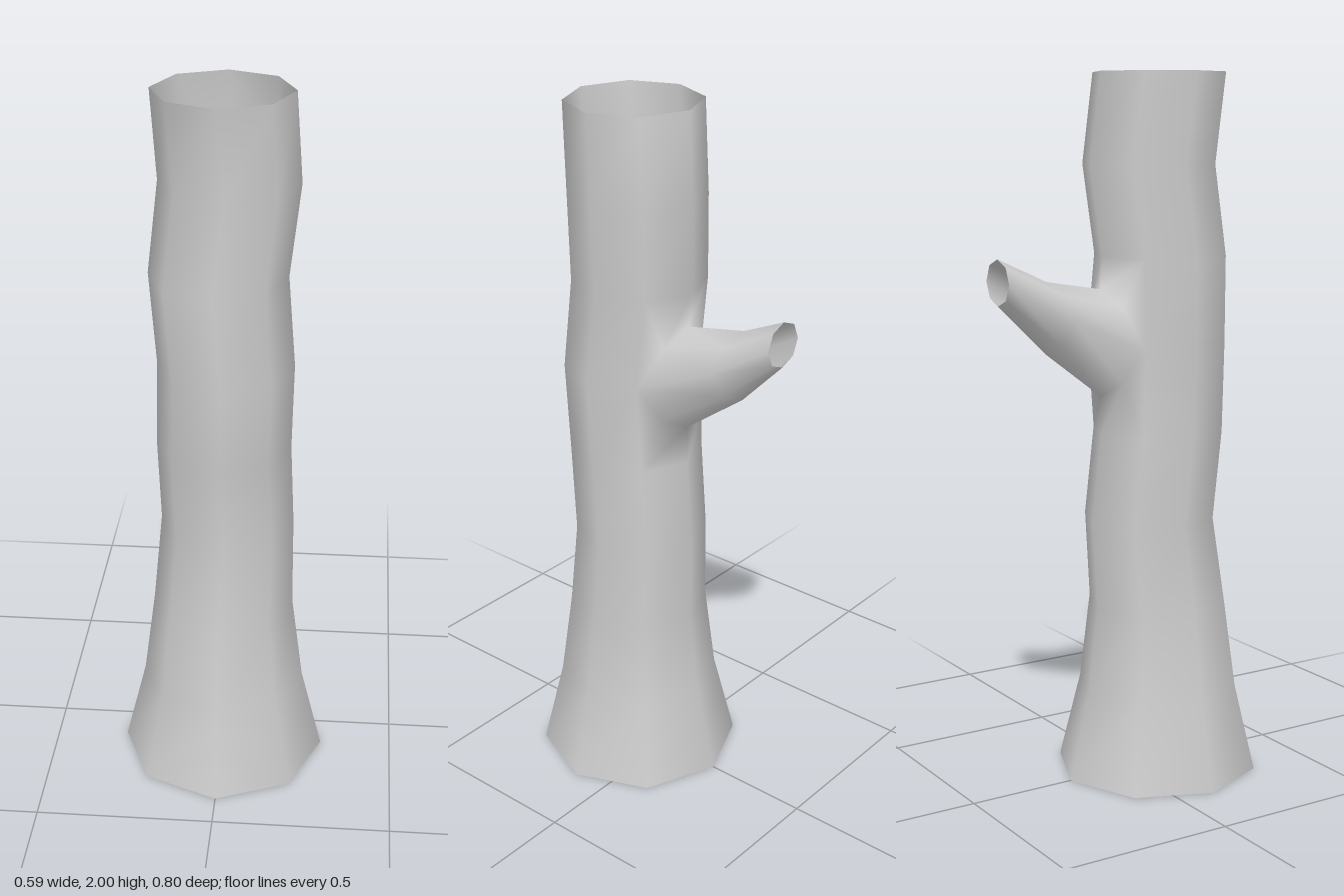
import * as THREE from 'three';

export function createModel() {
  const group = new THREE.Group();
  const points = [];
  const add = (x, y, z) => points.push(x, y, z) / 3 - 1;
  const quad = (list, a, b, c, d) => list.push(a, b, c, a, c, d);

  // Trunk rings, bottom to top: centre x, centre z, radius
  const SIDES = 8, STEP = 0.25;
  const rings = [
    [0, 0.105, 0.293], [0, 0.107, 0.232], [0, 0.105, 0.2],
    [0.01, 0.083, 0.188], [0.002, 0.107, 0.187], [0.008, 0.118, 0.187],
    [-0.013, 0.103, 0.188], [0.015, 0.083, 0.189], [0, 0.107, 0.188],
  ].map(([cx, cz, r], i) => Array.from({ length: SIDES }, (_, k) => {
    const a = (k / SIDES) * Math.PI * 2;
    return add(cx + r * Math.sin(a), i * STEP, cz + r * Math.cos(a));
  }));

  // Hollow trunk wall, leaving a two by two opening at the back for the branch
  const trunkFaces = [];
  for (let i = 0; i < rings.length - 1; i++) {
    for (let k = 0; k < SIDES; k++) {
      if ((i === 4 || i === 5) && (k === 3 || k === 4)) continue;
      const n = (k + 1) % SIDES;
      quad(trunkFaces, rings[i][k], rings[i][n], rings[i + 1][n], rings[i + 1][k]);
    }
  }

  // Rim of the opening, counter-clockwise as seen from behind
  const rim = [[5, 5], [6, 5], [6, 4], [6, 3], [5, 3], [4, 3], [4, 4], [4, 5]]
    .map(([i, k]) => rings[i][k]);

  // Branch cross-section: centre x, centre y, half width, half height, z at angle t
  const loop = (cx, cy, w, h, zAt) => rim.map((_, j) => {
    const t = (j / SIDES) * Math.PI * 2;
    return add(cx - w * Math.cos(t), cy + h * Math.sin(t), zAt(t));
  });
  const collar = loop(0.003, 1.26, 0.12, 0.15, t => -0.02 - 0.062 * Math.abs(Math.sin(t)));
  collar[0] = rim[0]; // the collar meets the trunk edges at both sides
  collar[4] = rim[4];
  const middle = loop(-0.01, 1.34, 0.096, 0.1, t => -0.23 - 0.03 * Math.abs(Math.sin(t)));
  const tip = loop(0.006, 1.443, 0.064, 0.063, () => -0.4);

  // Flare from the trunk into the branch, then the open branch itself
  const branchFaces = [];
  const bridge = (list, from, to) => from.forEach((a, j) => {
    const n = (j + 1) % SIDES;
    quad(list, a, from[n], to[n], to[j]);
  });
  bridge(trunkFaces, rim, collar);
  bridge(branchFaces, collar, middle);
  bridge(branchFaces, middle, tip);

  // Normals are found across both parts so the join stays smooth
  const whole = new THREE.BufferGeometry();
  whole.setAttribute('position', new THREE.Float32BufferAttribute(points, 3));
  whole.setIndex([...trunkFaces, ...branchFaces]);
  whole.computeVertexNormals();

  const material = new THREE.MeshStandardMaterial({ color: 0xcccccc, side: THREE.DoubleSide });
  for (const [name, faces] of [['trunk', trunkFaces], ['branch', branchFaces]]) {
    const geometry = new THREE.BufferGeometry();
    geometry.setAttribute('position', whole.getAttribute('position').clone());
    geometry.setAttribute('normal', whole.getAttribute('normal').clone());
    geometry.setIndex(faces);
    const mesh = new THREE.Mesh(geometry, material);
    mesh.name = name;
    group.add(mesh);
  }
  return group;
}
